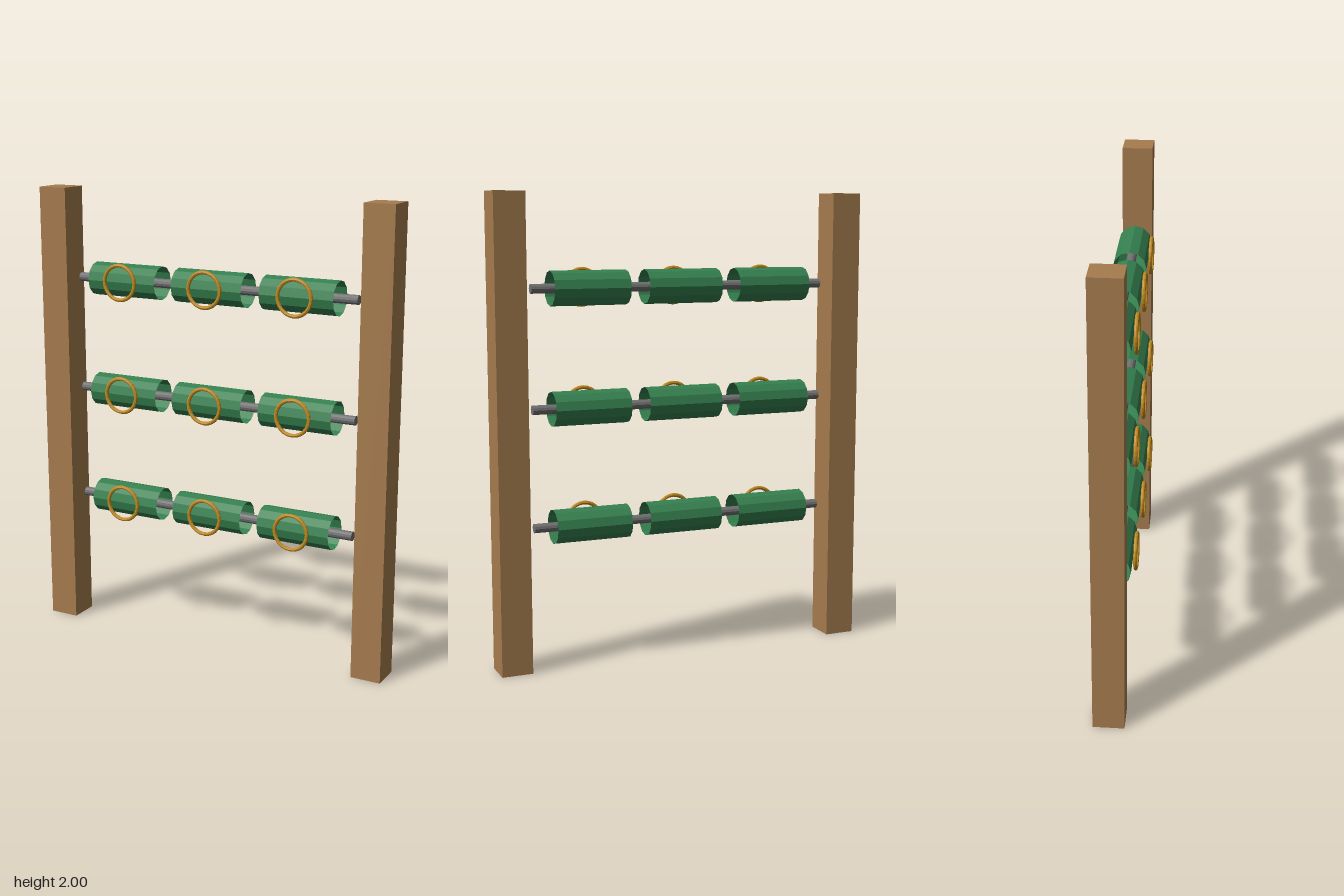
import * as THREE from 'three';

const AXIS_Z = -0.0092; // depth of posts and rods
const ROWS = [0.606, 1.106, 1.606];
const COLUMNS = [-0.4167, 0, 0.4167];

export function createModel() {
  const model = new THREE.Group();
  model.name = 'spinnerFrame';

  const material = (name, color, side = THREE.FrontSide) => {
    const m = new THREE.MeshStandardMaterial({ color, side, flatShading: true });
    m.name = name;
    return m;
  };
  const wood = material('wood', 0xa67c4e);
  const steel = material('steel', 0x707070);
  const green = material('green', 0x35804f, THREE.DoubleSide);
  const gold = material('gold', 0xc08a20);

  const add = (name, geometry, mat, x, y, z) => {
    const mesh = new THREE.Mesh(geometry, mat);
    mesh.name = name;
    mesh.position.set(x, y, z);
    model.add(mesh);
  };

  // Two square upright posts
  const post = new THREE.BoxGeometry(0.1333, 2, 0.1333);
  add('leftPost', post, wood, 0.767, 1, AXIS_Z);
  add('rightPost', post, wood, -0.767, 1, AXIS_Z);

  // Rods carrying open rollers, each with a ring on its front
  const rod = new THREE.CylinderGeometry(0.02, 0.02, 1.3333, 12).rotateZ(Math.PI / 2);
  const roller = new THREE.CylinderGeometry(0.0733, 0.0733, 0.3333, 12, 1, true).rotateZ(Math.PI / 2);
  const ring = new THREE.TorusGeometry(0.0755, 0.0083, 8, 24);
  for (const y of ROWS) {
    add('rod', rod, steel, 0, y, AXIS_Z);
    for (const x of COLUMNS) {
      add('roller', roller, green, x, y, AXIS_Z);
      add('ring', ring, gold, x, y, AXIS_Z + 0.0833);
    }
  }
  return model;
}
